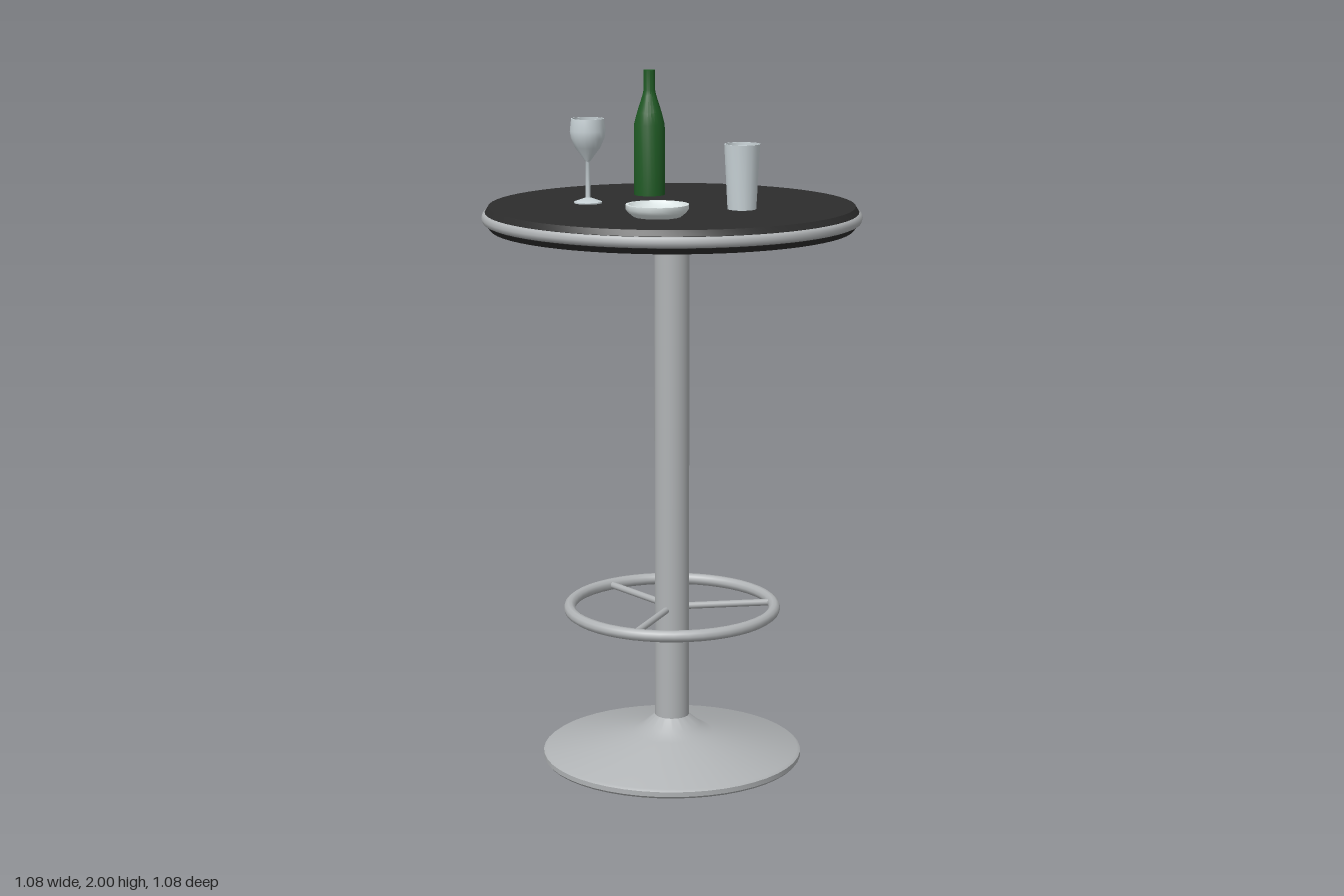
import * as THREE from 'three';
import { toCreasedNormals } from 'three/addons/utils/BufferGeometryUtils.js';

const mat = (name, color) => {
  const m = new THREE.MeshStandardMaterial({ color });
  m.name = name;
  return m;
};

export function createModel() {
  const metal = mat('brushed metal', 0xb0b3b5);
  const black = mat('black laminate', 0x2d2d2d);
  const green = mat('green bottle glass', 0x1f5a24);
  const glass = mat('pale glass', 0xc8d2d6);
  const china = mat('white china', 0xdbe4e4);
  const orange = mat('orange drink', 0xdb822c);

  const table = new THREE.Group();
  table.name = 'barTable';

  const add = (name, geometry, material, x = 0, y = 0, z = 0) => {
    const mesh = new THREE.Mesh(geometry, material);
    mesh.name = name;
    mesh.position.set(x, y, z);
    table.add(mesh);
    return mesh;
  };
  // Turned shape from [radius, height] pairs; corners sharper than the crease stay crisp
  const turned = (points, segments, crease = 0.5) => {
    const g = new THREE.LatheGeometry(points.map(([r, y]) => new THREE.Vector2(r, y)), segments);
    return crease ? toCreasedNormals(g, crease) : g;
  };

  // Flared foot, column and collar under the top
  add('base', turned([
    [0, 0], [0.375, 0], [0.38, 0.006], [0.38, 0.02], [0.372, 0.026],
    [0.12, 0.075], [0.085, 0.095], [0.05, 0.125],
  ], 48), metal);
  add('column', new THREE.CylinderGeometry(0.05, 0.05, 1.48, 32, 1, true), metal, 0, 0.84, 0);
  add('collar', turned([[0.05, 1.512], [0.1, 1.562], [0.105, 1.575]], 32), metal);

  // Round top with bevelled edges and a metal band
  add('tableTop', turned([
    [0, 1.573], [0.515, 1.573], [0.53, 1.59], [0.53, 1.622], [0.52, 1.638], [0, 1.638],
  ], 64), black);
  add('edgeBand', turned([
    [0.528, 1.59], [0.536, 1.594], [0.54, 1.606], [0.536, 1.618], [0.528, 1.622],
  ], 64, 0.8), metal);

  // Foot ring carried by three spokes
  const ringY = 0.455;
  const ring = add('footRing', new THREE.TorusGeometry(0.3, 0.017, 10, 48), metal, 0, ringY, 0);
  ring.rotation.x = Math.PI / 2;
  for (let i = 0; i < 3; i++) {
    const a = (i * Math.PI * 2) / 3;
    const spoke = add('footRingSpoke', new THREE.CylinderGeometry(0.01, 0.01, 0.27, 10), metal,
      Math.cos(a) * 0.17, ringY, Math.sin(a) * 0.17);
    spoke.rotation.set(0, -a, Math.PI / 2);
  }

  const topY = 1.638;

  // Bottle
  add('bottle', turned([
    [0, 0], [0.045, 0], [0.045, 0.205], [0.036, 0.24], [0.02, 0.29],
    [0.017, 0.305], [0.017, 0.362], [0, 0.362],
  ], 24), green, -0.03, topY, -0.242);

  // Stemmed glass with a hollow bowl
  add('wineGlass', turned([
    [0, 0], [0.04, 0], [0.04, 0.004], [0.007, 0.016], [0.006, 0.118], [0.036, 0.158],
    [0.048, 0.185], [0.051, 0.205], [0.047, 0.24], [0.044, 0.24], [0.047, 0.205],
    [0.044, 0.186], [0.033, 0.162], [0, 0.13],
  ], 20, 0.8), glass, -0.23, topY, -0.078);

  // Tumbler and its drink
  add('tumbler', turned([
    [0, 0], [0.041, 0], [0.051, 0.182], [0.047, 0.182], [0.038, 0.008], [0, 0.008],
  ], 16), glass, 0.18, topY, 0.118);
  add('drink', turned([[0, 0.009], [0.0385, 0.009], [0.0445, 0.115], [0, 0.115]], 16, 0),
    orange, 0.18, topY, 0.118);

  // Shallow dish
  add('dish', turned([
    [0, 0], [0.065, 0], [0.08, 0.012], [0.088, 0.022], [0.088, 0.034], [0.08, 0.034],
    [0.073, 0.024], [0.05, 0.014], [0, 0.01],
  ], 16, 0.8), china, -0.077, topY, 0.24);

  return table;
}
